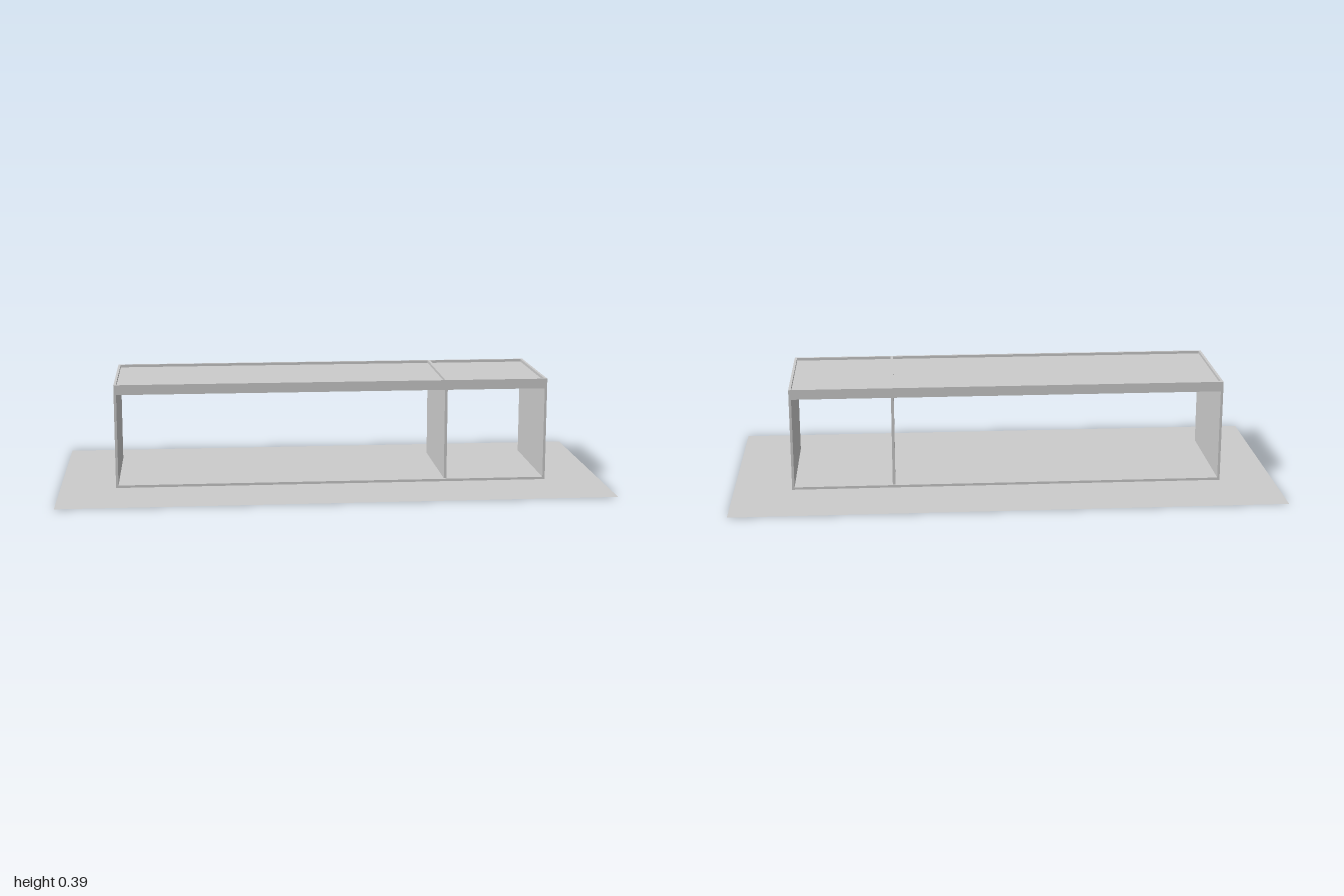
import * as THREE from 'three';

const material = new THREE.MeshStandardMaterial({ color: 0xcccccc });

export function createModel() {
  const model = new THREE.Group();
  model.name = 'openCabinet';

  // Board given by its minimum and maximum on each axis
  const board = (name, [x0, x1], [y0, y1], [z0, z1]) => {
    const mesh = new THREE.Mesh(new THREE.BoxGeometry(x1 - x0, y1 - y0, z1 - z0), material);
    mesh.position.set((x0 + x1) / 2, (y0 + y1) / 2, (z0 + z1) / 2);
    mesh.name = name;
    model.add(mesh);
  };

  const left = 0.785, right = -0.795; // outer faces of the cabinet
  const bottom = 0.012, top = 0.391, depth = 0.225, t = 0.009;
  const inside = [right + t, left - t];
  const divider = [0.408, 0.418];

  // Thin floor sheet
  const floor = new THREE.Mesh(new THREE.PlaneGeometry(2, 0.93), material.clone());
  floor.material.side = THREE.DoubleSide;
  floor.rotation.x = -Math.PI / 2;
  floor.name = 'floorSheet';
  model.add(floor);

  // Recessed plinth and base board
  board('plinth', [-0.715, 0.705], [0.0005, bottom], [-0.165, 0.165]);
  board('baseBoard', inside, [bottom, bottom + t], [-depth, depth]);

  // Upright boards
  board('rightSide', [right, right + t], [bottom, top], [-depth, depth]);
  board('leftSide', [left - t, left], [bottom, top], [-depth, depth]);
  board('divider', divider, [bottom + t, top], [-depth + t, depth - t]);

  // Rails along the front and back of the top
  board('frontRail', inside, [0.355, top], [depth - t, depth]);
  board('backRail', inside, [0.355, top], [-depth, -depth + t]);

  // Top panels set slightly below the rim
  const panelY = [0.371, 0.381], panelZ = [-depth + t, depth - t];
  board('widePanel', [inside[0], divider[0]], panelY, panelZ);
  board('narrowPanel', [divider[1], inside[1]], panelY, panelZ);

  return model;
}
